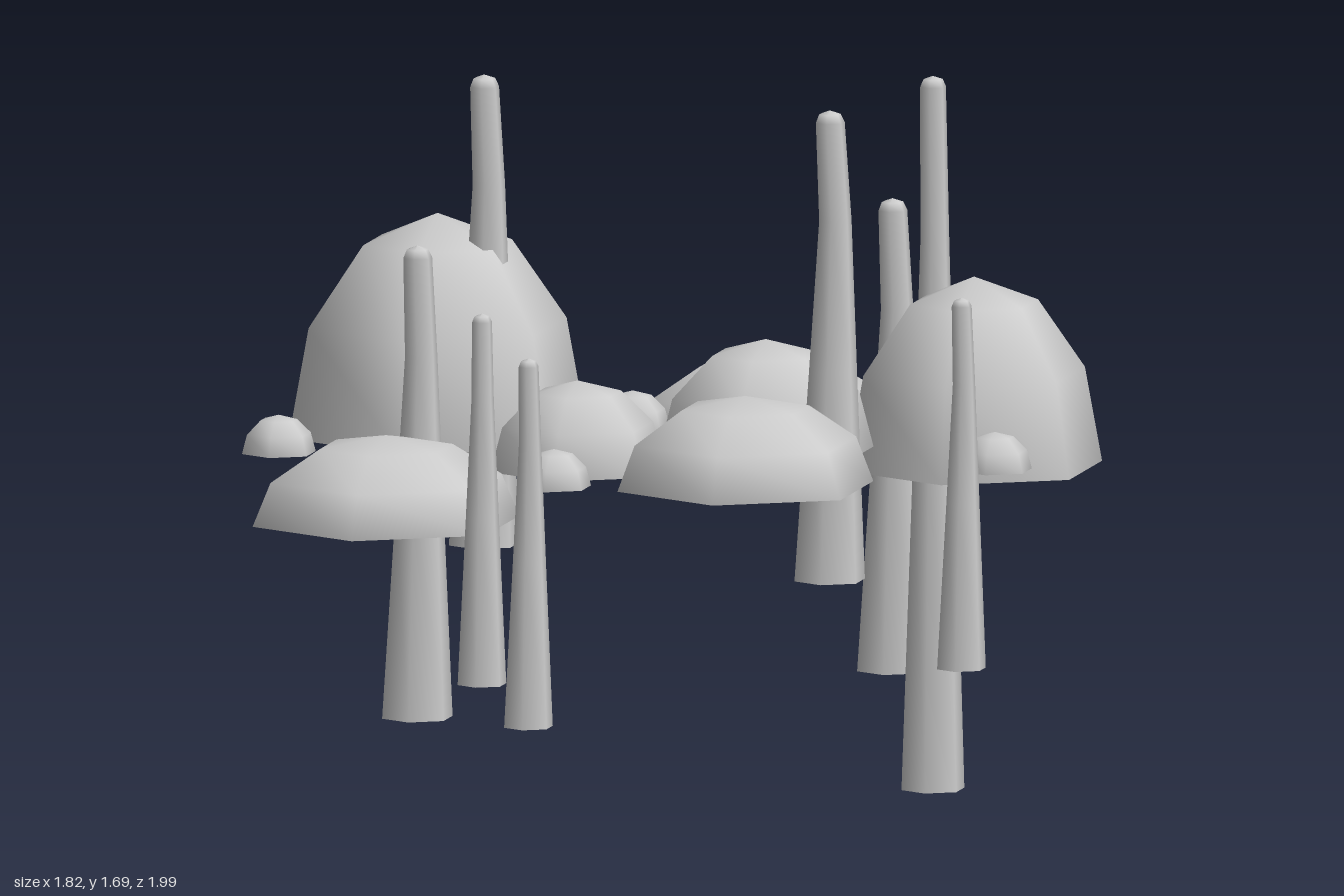
import * as THREE from 'three';

const material = new THREE.MeshStandardMaterial({ color: 0xcccccc, side: THREE.DoubleSide });

// Six-sided half dome, open underneath
function dome(name, x, z, radius, base, height) {
  const geometry = new THREE.SphereGeometry(1, 6, 3, 0, Math.PI * 2, 0, Math.PI / 2);
  geometry.scale(radius, height, radius);
  const mesh = new THREE.Mesh(geometry, material);
  mesh.name = name;
  mesh.position.set(x, base, z);
  return mesh;
}

// Tapering six-sided stalk that leans towards a bend, then back to a rounded tip
const BEND = 0.77;
function stalk(name, x, z, radius, base, top, bendX, bendZ) {
  const h = top - base;
  const tip = radius * 0.41;
  const profile = [
    [radius, 0],
    [radius * 0.68, h * 0.45],
    [radius * 0.46, h * BEND],
    [tip, h - tip * 0.8],
    [tip * 0.75, h - tip * 0.25],
    [0, h],
  ].map(([r, y]) => new THREE.Vector2(r, y));
  const geometry = new THREE.LatheGeometry(profile, 6, Math.PI / 6);

  // Shift each ring sideways according to its height
  const p = geometry.attributes.position;
  for (let i = 0; i < p.count; i++) {
    const t = p.getY(i) / h;
    const lean = t < BEND ? t / BEND : (1 - t) / (1 - BEND);
    p.setX(i, p.getX(i) + bendX * lean);
    p.setZ(i, p.getZ(i) + bendZ * lean);
  }
  const mesh = new THREE.Mesh(geometry, material);
  mesh.name = name;
  mesh.position.set(x, base, z);
  return mesh;
}

export function createModel() {
  const model = new THREE.Group();
  model.name = 'domeAndStalkCluster';

  // Large domes: x, z, radius, base, height
  [
    [-0.245, -0.695, 0.32, 0.785, 0.2],
    [0.385, -0.735, 0.305, 0.785, 0.44],
    [0.205, -0.235, 0.257, 0.855, 0.26],
    [-0.555, 0.065, 0.355, 0.85, 0.51],
    [0.575, 0.21, 0.305, 0.86, 0.21],
    [0.017, 0.19, 0.208, 0.84, 0.205],
    [-0.08, 0.72, 0.318, 0.765, 0.2],
  ].forEach((d, i) => model.add(dome('largeDome' + (i + 1), ...d)));

  // Small domes
  [
    [-0.28, -0.295],
    [0.76, -0.42],
    [0.22, 0.475],
    [-0.6, 0.54],
  ].forEach(([x, z], i) => model.add(dome('smallDome' + (i + 1), x, z, 0.088, 0.85, 0.088)));

  // Stalks: x, z, base radius, base, top, bend in x, bend in z
  [
    [0.01, -0.85, 0.084, 0.26, 1.355, 0.03, 0.015],
    [0.152, -0.838, 0.075, 0, 1.655, 0.016, 0.01],
    [0.848, -0.22, 0.058, 0.42, 1.28, 0.018, 0.01],
    [0.515, -0.128, 0.084, 0.6, 1.69, 0.03, 0.012],
    [-0.438, 0.032, 0.084, 0.6, 1.69, 0.03, 0.015],
    [-0.26, 0.433, 0.084, 0.26, 1.355, 0.03, 0.018],
    [0.302, 0.643, 0.058, 0.32, 1.175, 0.015, 0.01],
    [0.23, 0.722, 0.058, 0.42, 1.28, 0.012, 0.01],
  ].forEach((s, i) => model.add(stalk('stalk' + (i + 1), ...s)));

  return model;
}
